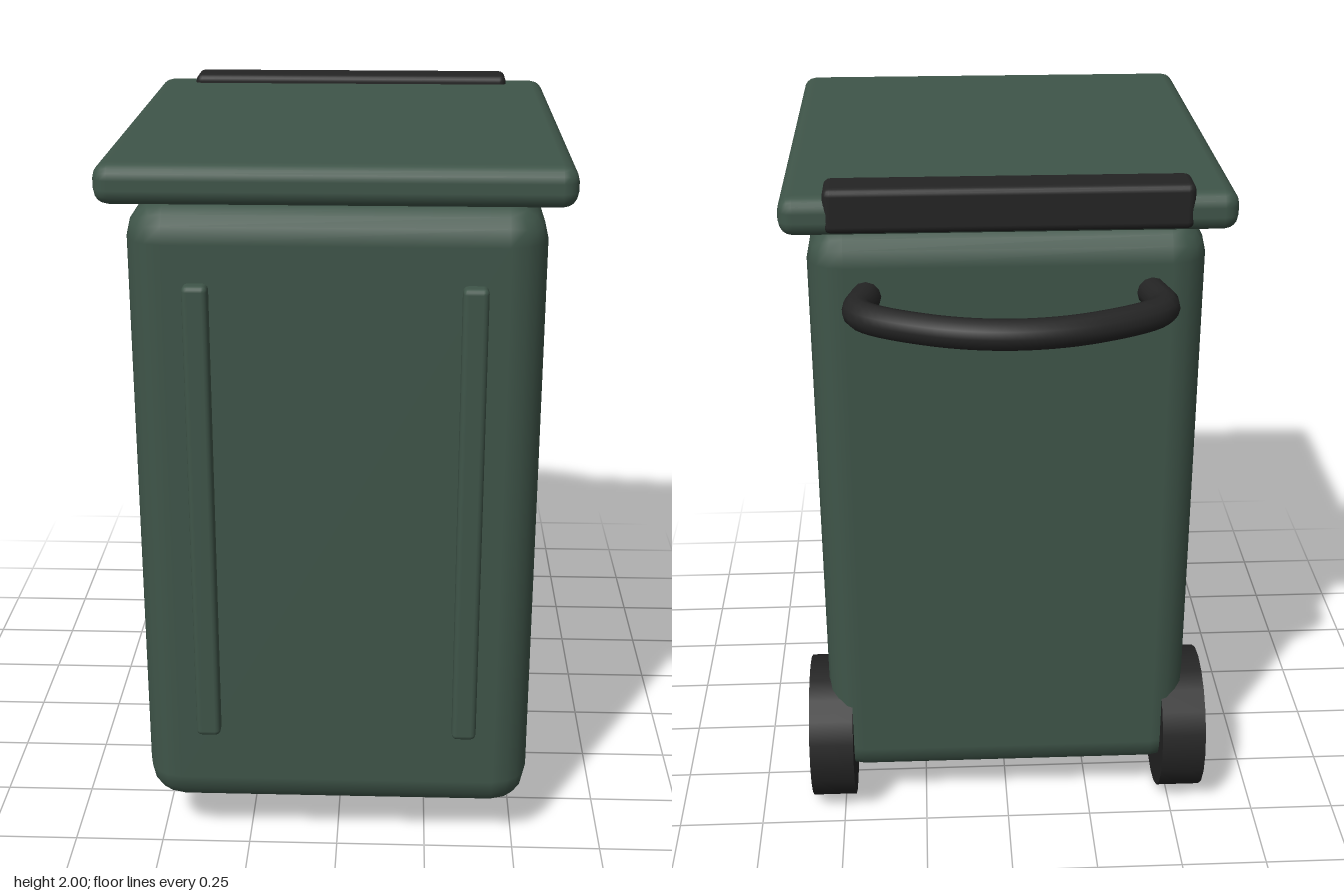
import * as THREE from 'three';
import { RoundedBoxGeometry } from 'three/addons/geometries/RoundedBoxGeometry.js';

export function createModel() {
  const model = new THREE.Group();
  model.name = 'wheeledBin';
  const green = new THREE.MeshStandardMaterial({ color: 0x3f5549 });
  green.name = 'bin green';
  const black = new THREE.MeshStandardMaterial({ color: 0x242424 });
  black.name = 'rubber black';

  const add = (name, geometry, material, parent = model) => {
    const mesh = new THREE.Mesh(geometry, material);
    mesh.name = name;
    parent.add(mesh);
    return mesh;
  };

  // Rounded box given by its min and max corners
  const block = (name, min, max, radius, material, segments = 2) => {
    const size = max.map((v, i) => v - min[i]);
    const mesh = add(name, new RoundedBoxGeometry(...size, segments, radius), material);
    mesh.position.set(...max.map((v, i) => (v + min[i]) / 2));
    return mesh;
  };

  block('body', [-0.535, 0.125, -0.445], [0.535, 1.865, 0.765], 0.1, green);
  block('lid', [-0.595, 1.87, -0.508], [0.595, 1.975, 0.81], 0.04, green);
  block('hinge', [-0.478, 1.88, -0.512], [0.478, 2.0, -0.39], 0.02, black);

  // Ribs and wheels, mirrored
  for (const [side, s] of [['left', 1], ['right', -1]]) {
    const x = s * 0.352;
    block(side + 'Rib', [x - 0.033, 0.378, 0.735], [x + 0.033, 1.667, 0.8], 0.015, green);

    const wheel = add(side + 'Wheel', new THREE.CylinderGeometry(0.215, 0.215, 0.13, 20), black);
    wheel.rotation.z = Math.PI / 2;
    wheel.position.set(s * 0.53, 0.217, -0.295);
  }

  // Curved push handle with closed ends
  const handle = new THREE.Group();
  handle.name = 'handle';
  handle.position.y = 1.705;
  model.add(handle);
  const path = new THREE.CatmullRomCurve3([
    [-0.375, -0.49], [-0.39, -0.615], [-0.21, -0.73], [0, -0.77],
    [0.21, -0.73], [0.39, -0.615], [0.375, -0.49],
  ].map(([x, z]) => new THREE.Vector3(x, 0, z)));
  add('handleBar', new THREE.TubeGeometry(path, 48, 0.04, 12), black, handle);
  for (const t of [0, 1]) {
    const cap = add('handleEnd', new THREE.CircleGeometry(0.04, 12), black, handle);
    const outward = path.getTangentAt(t).multiplyScalar(t ? 1 : -1);
    cap.position.copy(path.getPointAt(t));
    cap.quaternion.setFromUnitVectors(new THREE.Vector3(0, 0, 1), outward);
  }

  return model;
}
